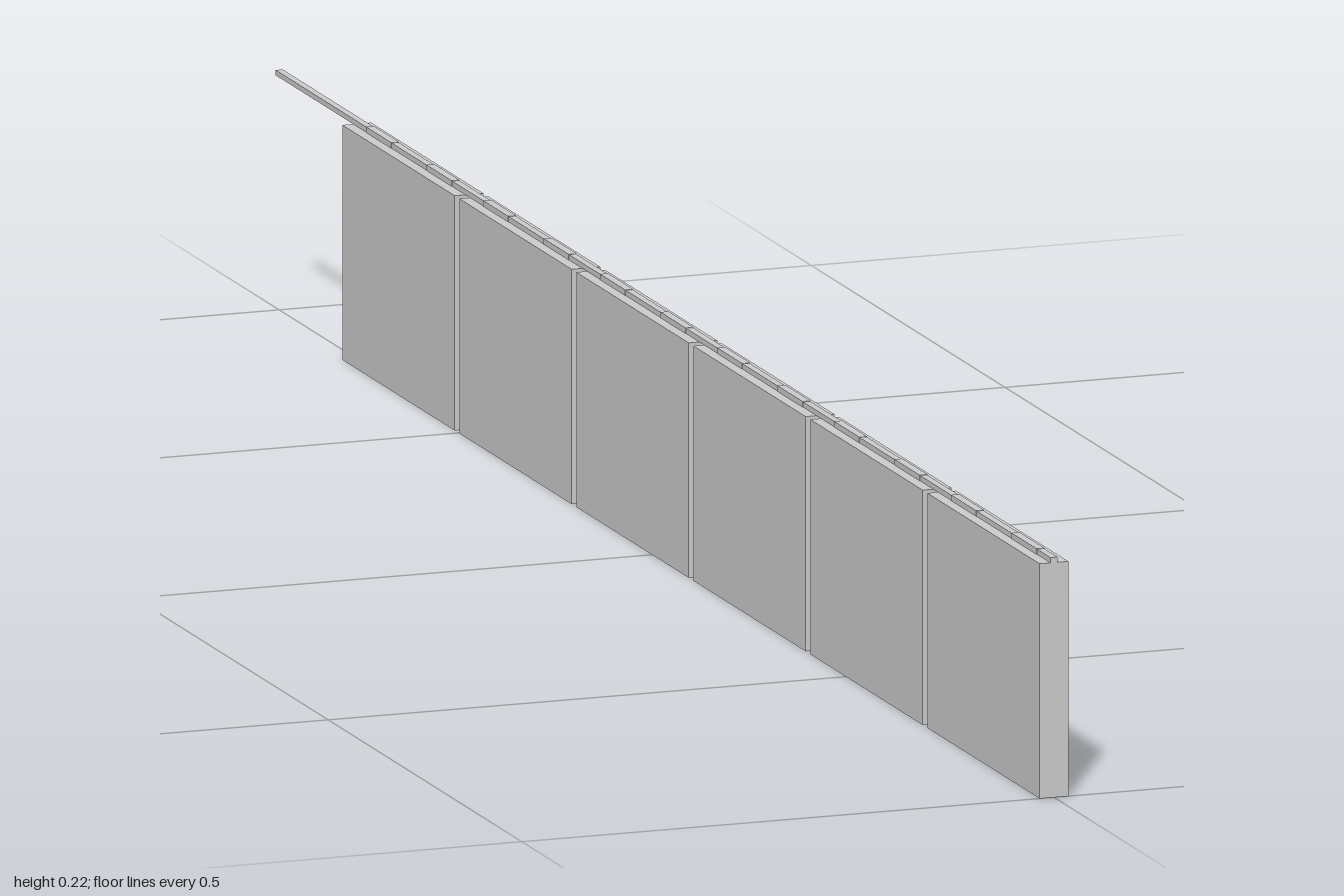
import * as THREE from 'three';

export function createModel() {
  const model = new THREE.Group();
  const material = new THREE.MeshStandardMaterial({ color: 0xcccccc, flatShading: true });

  function box(name, w, h, d, y, z, parent = model) {
    const mesh = new THREE.Mesh(new THREE.BoxGeometry(w, h, d), material);
    mesh.name = name;
    mesh.position.set(0, y, z);
    parent.add(mesh);
  }

  const count = 6, length = 0.29, pitch = 0.302, height = 0.213;

  // Hanging panels in a row, each with two clips around the rail
  for (let i = 0; i < count; i++) {
    const unit = new THREE.Group();
    unit.name = 'panelUnit';
    unit.position.z = 1 - length / 2 - i * pitch;
    box('panel', 0.027, height, length, height / 2, 0, unit);
    for (const side of [-1, 1]) {
      box('clip', 0.0075, 0.0052, 0.065, height + 0.0026, side * 0.078, unit);
    }
    model.add(unit);
  }

  // Thin rail along the top, reaching past the last panel
  box('rail', 0.0066, 0.0048, 2, height + 0.0024, 0);

  return model;
}
